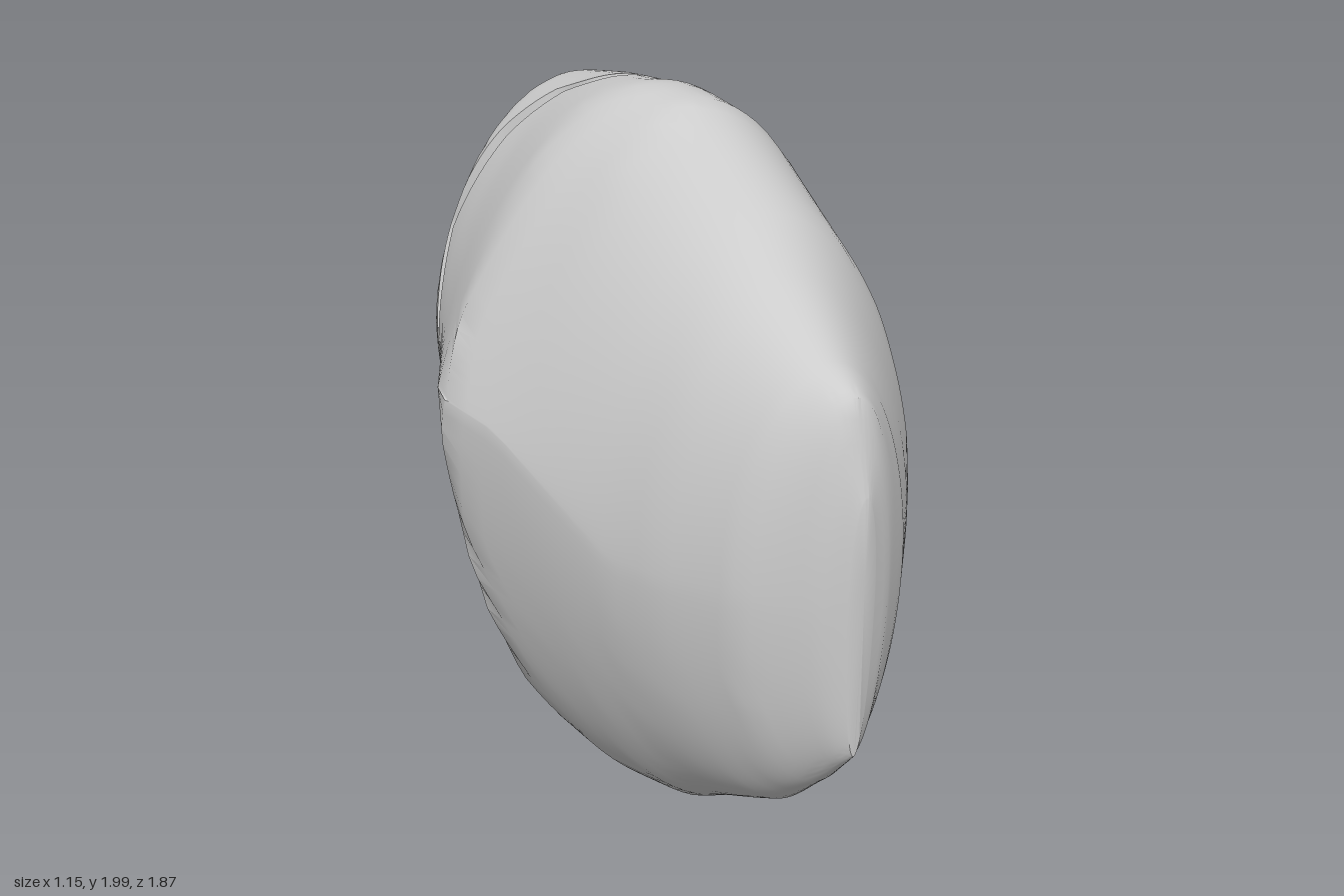
import * as THREE from 'three';
import { toCreasedNormals } from 'three/addons/utils/BufferGeometryUtils.js';

// Piecewise linear lookup in a list of [position, value] pairs
function lookup(pairs, t) {
  if (t <= pairs[0][0]) return pairs[0][1];
  for (let i = 1; i < pairs.length; i++) {
    const [t0, v0] = pairs[i - 1], [t1, v1] = pairs[i];
    if (t <= t1) return v0 + (v1 - v0) * (t - t0) / (t1 - t0);
  }
  return pairs[pairs.length - 1][1];
}

// Outline of the boulder along z: sides, top, bottom and height of the widest point
const LEFT = [[-0.93, 0.16], [-0.85, 0.25], [-0.72, 0.36], [-0.6, 0.46], [-0.35, 0.55], [-0.08, 0.575],
  [0.04, 0.575], [0.2, 0.55], [0.43, 0.53], [0.62, 0.39], [0.8, 0.25], [0.9, 0.14], [0.93, 0.08]];
const RIGHT = [[-0.93, 0], [-0.85, -0.14], [-0.56, -0.39], [-0.35, -0.46], [-0.08, -0.58],
  [0.35, -0.4], [0.57, -0.31], [0.77, -0.2], [0.9, -0.05], [0.93, 0.01]];
const TOP = [[-0.93, 1.36], [-0.82, 1.55], [-0.65, 1.76], [-0.53, 1.91], [-0.2, 1.97], [0, 2], [0.17, 1.98],
  [0.37, 1.82], [0.58, 1.65], [0.73, 1.55], [0.87, 1.47], [0.93, 1.25]];
const BOTTOM = [[-0.93, 1.1], [-0.91, 1], [-0.86, 0.75], [-0.76, 0.5], [-0.47, 0.28], [-0.34, 0.17], [-0.13, 0.05],
  [0.08, 0], [0.3, 0.05], [0.48, 0.16], [0.66, 0.27], [0.81, 0.42], [0.93, 0.56]];
const WIDEST = [[-0.93, 1.22], [-0.1, 1.25], [0.1, 1.2], [0.45, 0.95], [0.93, 0.98]];

// How much the flanks above the widest point slope inwards (1 is a plain ellipse)
const SLOPE = [[-0.9, 1], [-0.5, 1.2], [-0.1, 1.9], [0.1, 1.9], [0.45, 1.25], [0.9, 1]];

// Crack over the top: z position and openness by angle around the body (degrees)
const CRACK_Z = [[-90, -0.1], [-20, -0.03], [0, -0.06], [34, -0.02], [54, -0.07], [72, -0.18], [90, -0.22],
  [98, -0.27], [105, -0.36], [122, -0.45], [150, -0.53], [177, -0.47], [202, -0.59], [217, -0.4], [270, -0.1]];
const CRACK_OPEN = [[-20, 0], [0, 0.8], [54, 1], [150, 1], [202, 0.8], [218, 0]];

// Chip broken out of the lower front: a sunken floor, bounded below by a ledge
const CHIP_FLOOR = new THREE.Plane(new THREE.Vector3(0.71, -0.466, 0.525).normalize(), -0.29);
const CHIP_LEDGE = new THREE.Plane(new THREE.Vector3(0.61, 0.51, 0.6).normalize(), -0.53);

// Point on the boulder's skin at an angle and a depth
function skin(deg, z) {
  const a = THREE.MathUtils.degToRad(deg), c = Math.cos(a), s = Math.sin(a);
  const l = lookup(LEFT, z), r = lookup(RIGHT, z), wide = lookup(WIDEST, z);
  const x = (l + r) / 2 + c * (l - r) / 2;
  const y = s > 0
    ? wide + (lookup(TOP, z) - wide) * Math.pow(s, lookup(SLOPE, z))
    : wide - (wide - lookup(BOTTOM, z)) * Math.pow(-s, c < 0 ? 1.15 : 1);
  const p = new THREE.Vector3(x, y, z);
  const sunk = CHIP_FLOOR.distanceToPoint(p);
  if (sunk > 0 && CHIP_LEDGE.distanceToPoint(p) > 0) p.addScaledVector(CHIP_FLOOR.normal, -sunk);
  return p;
}

function boulderGeometry() {
  const columns = 120, steps = 32, rings = [];
  const addRing = (pointAt) => {
    const ring = [];
    for (let j = 0; j < columns; j++) ring.push(pointAt(-90 + 360 * j / columns));
    rings.push(ring);
  };
  const edge = (deg, side) => lookup(CRACK_Z, deg) + side * 0.03 * lookup(CRACK_OPEN, deg);
  const ease = (t) => Math.sin(t * Math.PI / 2);

  // Front half, crack floor, back half
  for (let i = steps; i >= 0; i--) {
    addRing((deg) => skin(deg, THREE.MathUtils.lerp(edge(deg, 1), 0.93, ease(i / steps))));
  }
  addRing((deg) => {
    const p = skin(deg, lookup(CRACK_Z, deg));
    const inward = new THREE.Vector3(0, 1.1, p.z).sub(p).normalize();
    return p.addScaledVector(inward, 0.11 * lookup(CRACK_OPEN, deg));
  });
  for (let i = 0; i <= steps; i++) {
    addRing((deg) => skin(deg, THREE.MathUtils.lerp(edge(deg, -1), -0.925, ease(i / steps))));
  }

  const positions = [];
  const tri = (...points) => points.forEach((p) => positions.push(p.x, p.y, p.z));
  const front = new THREE.Vector3(0.045, 1.05, 0.937), back = new THREE.Vector3(0.08, 1.24, -0.933);
  const last = rings.length - 1;
  for (let j = 0; j < columns; j++) {
    const k = (j + 1) % columns;
    for (let i = 0; i < last; i++) {
      const a = rings[i][j], b = rings[i][k], c = rings[i + 1][j], d = rings[i + 1][k];
      tri(a, c, b);
      tri(c, d, b);
    }
    tri(front, rings[0][j], rings[0][k]);
    tri(back, rings[last][k], rings[last][j]);
  }
  const geometry = new THREE.BufferGeometry();
  geometry.setAttribute('position', new THREE.Float32BufferAttribute(positions, 3));
  return toCreasedNormals(geometry, 0.7);
}

export function createModel() {
  const group = new THREE.Group();
  group.name = 'crackedBoulder';
  const boulder = new THREE.Mesh(boulderGeometry(), new THREE.MeshStandardMaterial({ color: 0xcccccc }));
  boulder.name = 'boulder';
  group.add(boulder);
  return group;
}
